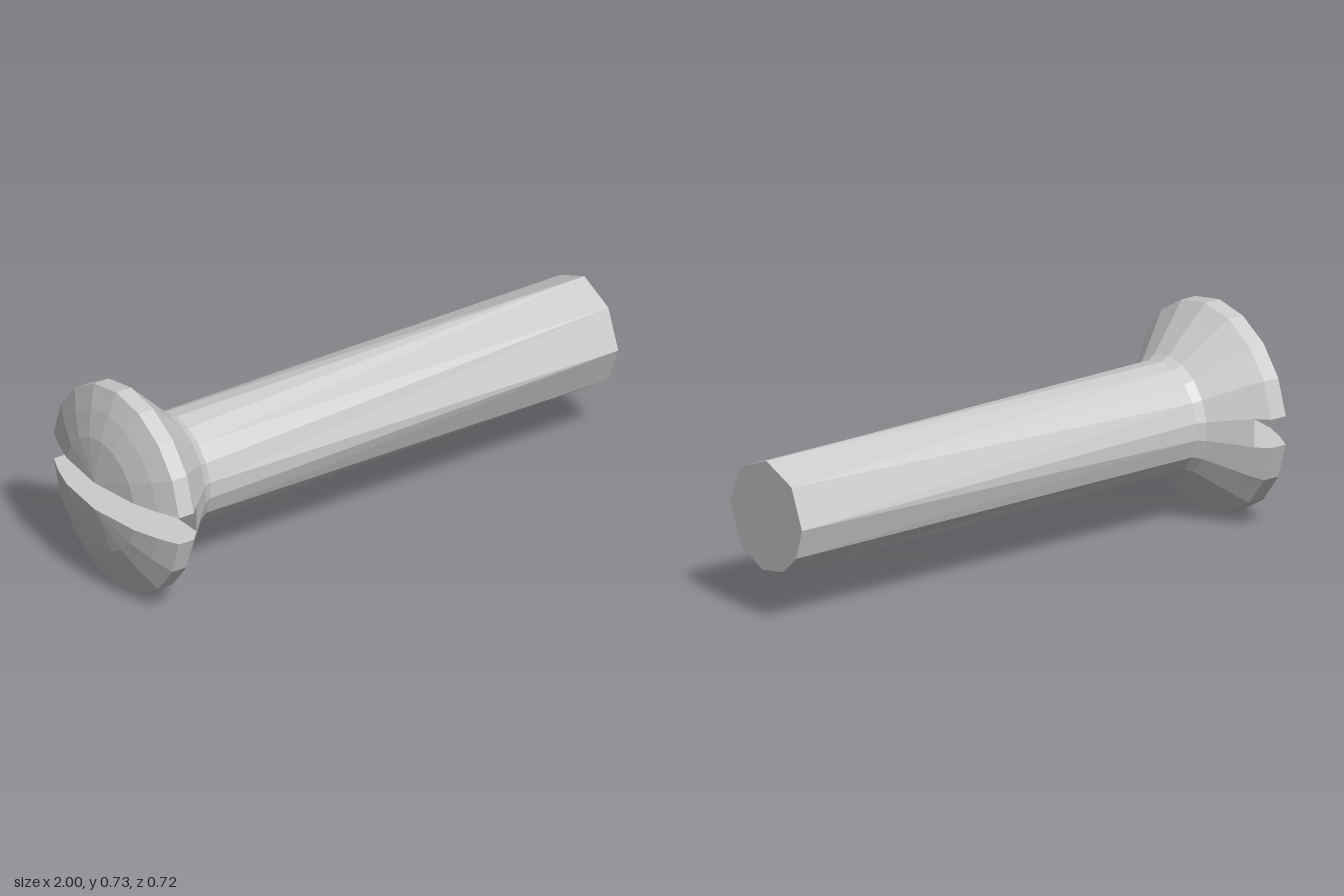
import * as THREE from 'three';

const AXIS_Y = 0.365; // height of the screw's axis
const SLOT = 0.05; // half width of the slot
const FLOOR_X = -0.81; // depth of the slot
const FLOOR_R = 0.325; // head radius at the slot floor
const ARC = 8; // facets on each half of the head

const material = new THREE.MeshStandardMaterial({ color: 0xcccccc, flatShading: true });

// Point on a circle around the x axis, angle measured from +z towards +y
const onCircle = (x, r, a) => new THREE.Vector3(x, r * Math.sin(a), r * Math.cos(a));

// Angles of a half circle cut off by the slot wall
function arcAngles(r) {
  const start = Math.asin(Math.min(1, SLOT / r));
  return Array.from({ length: ARC + 1 }, (_, i) => start + ((Math.PI - 2 * start) * i) / ARC);
}

// Skin closed rings that follow each other along +x, dropping collapsed triangles
function loft(rings) {
  const points = [];
  const tri = (a, b, c) => {
    const area = b.clone().sub(a).cross(c.clone().sub(a)).length();
    if (area > 1e-8) points.push(a, b, c);
  };
  for (let i = 0; i < rings.length - 1; i++) {
    const p = rings[i], q = rings[i + 1], n = p.length;
    for (let j = 0; j < n; j++) {
      const k = (j + 1) % n;
      tri(p[j], q[j], q[k]);
      tri(p[j], q[k], p[k]);
    }
  }
  const geometry = new THREE.BufferGeometry().setFromPoints(points);
  geometry.computeVertexNormals();
  return geometry;
}

export function createModel() {
  const screw = new THREE.Group();
  screw.name = 'slottedScrew';
  const add = (name, geometry) => {
    const mesh = new THREE.Mesh(geometry, material);
    mesh.name = name;
    mesh.position.y = AXIS_Y;
    screw.add(mesh);
    return mesh;
  };

  // Domed head halves; the closing side of each ring forms the slot wall
  const profile = [[-1, SLOT], [-0.976, 0.2], [-0.945, 0.29], [-0.91, 0.365], [-0.85, 0.365], [FLOOR_X, FLOOR_R]];
  const half = loft(profile.map(([x, r]) => arcAngles(r).map((a) => onCircle(x, r, a))));
  add('upperHeadHalf', half);
  add('lowerHeadHalf', half).rotation.x = Math.PI;

  // Slot floor
  const width = 2 * Math.sqrt(FLOOR_R ** 2 - SLOT ** 2);
  add('slotFloor', new THREE.PlaneGeometry(width, 2 * SLOT).rotateY(-Math.PI / 2).translate(FLOOR_X, 0, 0));

  // Countersunk cone narrowing to the shank
  const upper = arcAngles(FLOOR_R);
  const angles = [...upper, ...upper.map((a) => a + Math.PI)];
  const ring = (x, r) => angles.map((a) => onCircle(x, r, a));
  add('headCone', loft([ring(FLOOR_X, FLOOR_R), ring(-0.695, 0.212), ring(-0.665, 0.195)]));

  // Shank: many facets at the head merge into nine uneven ones at the tip
  const corners = [0, 45, 90, 135, 180, 213, 242, 276, 315, 360].map(THREE.MathUtils.degToRad);
  const nearest = (a) => corners.reduce((best, c) => (Math.abs(c - a) < Math.abs(best - a) ? c : best));
  const tip = angles.map((a) => onCircle(1, 0.195, nearest(a)));
  const centre = angles.map(() => new THREE.Vector3(1, 0, 0));
  add('shank', loft([ring(-0.665, 0.195), tip, centre]));

  return screw;
}
